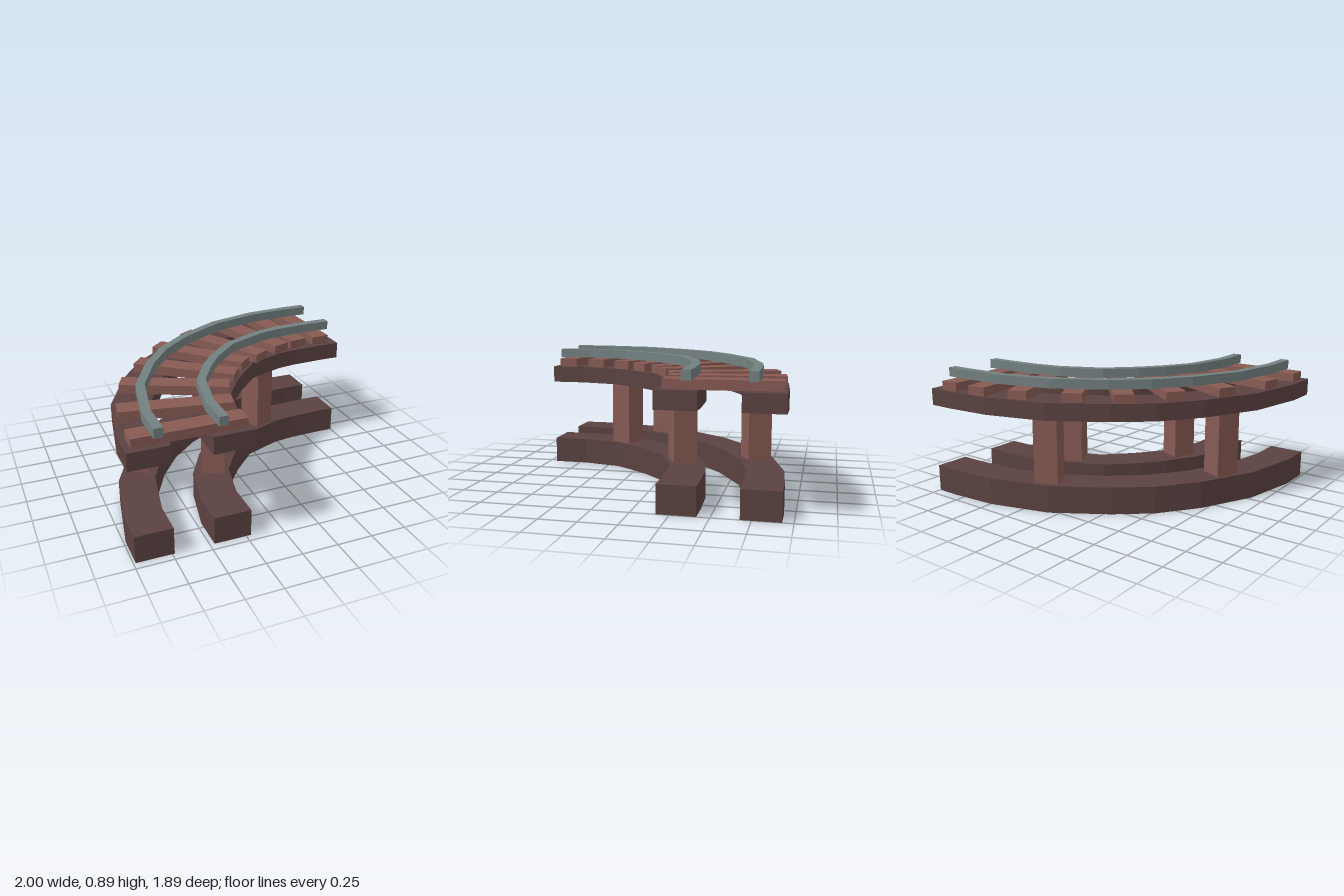
import * as THREE from 'three';

// Outer and inner edges of the curved track bed, as matching [x, z] stations
const OUTER = [[-1, 0.945], [-1, 0.71], [-0.92, 0.28], [-0.73, -0.11], [-0.53, -0.38],
  [-0.3, -0.57], [0.06, -0.8], [0.49, -0.92], [0.82, -0.945], [1, -0.945]];
const INNER = [[-0.2, 0.945], [-0.2, 0.7], [-0.14, 0.42], [-0.04, 0.27], [0.045, 0.16],
  [0.22, -0.02], [0.48, -0.12], [0.62, -0.14], [0.86, -0.15], [1, -0.15]];

// Rectangular section swept along the curve; f0..f1 is its span from outer edge (0) to inner edge (1)
function sweep(f0, f1, y0, y1) {
  const pos = [], idx = [];
  const n = OUTER.length;
  for (let i = 0; i < n; i++) {
    const at = (f, y) => pos.push(
      THREE.MathUtils.lerp(OUTER[i][0], INNER[i][0], f), y,
      THREE.MathUtils.lerp(OUTER[i][1], INNER[i][1], f));
    at(f0, y0); at(f0, y1); at(f1, y1); at(f1, y0);
  }
  for (let i = 0; i < n - 1; i++) {
    for (let k = 0; k < 4; k++) {
      const a = i * 4 + k, b = i * 4 + (k + 1) % 4;
      idx.push(a, b, a + 4, b, b + 4, a + 4);
    }
  }
  const e = (n - 1) * 4;
  idx.push(0, 3, 2, 0, 2, 1, e, e + 1, e + 2, e, e + 2, e + 3);
  const g = new THREE.BufferGeometry();
  g.setAttribute('position', new THREE.Float32BufferAttribute(pos, 3));
  g.setIndex(idx);
  const flat = g.toNonIndexed();
  flat.computeVertexNormals();
  return flat;
}

export function createModel() {
  const group = new THREE.Group();
  const material = (name, color) => {
    const m = new THREE.MeshStandardMaterial({ color });
    m.name = name;
    return m;
  };
  const darkWood = material('darkWood', 0x5a4240);
  const redWood = material('redWood', 0x875a53);
  const steel = material('steel', 0x738080);

  const add = (name, geometry, mat) => {
    const mesh = new THREE.Mesh(geometry, mat);
    mesh.name = name;
    group.add(mesh);
    return mesh;
  };
  // Box turned so its length follows the given angle in the ground plane
  const addBox = (name, size, x, y, z, degrees) => {
    const mesh = add(name, new THREE.BoxGeometry(...size), redWood);
    mesh.position.set(x, y, z);
    mesh.rotation.y = -THREE.MathUtils.degToRad(degrees);
  };

  // Foundation and deck beams
  add('outerBaseBeam', sweep(0.018, 0.332, 0, 0.19), darkWood);
  add('innerBaseBeam', sweep(0.664, 0.98, 0, 0.19), darkWood);
  add('outerDeckBeam', sweep(0, 0.332, 0.645, 0.765), darkWood);
  add('innerDeckBeam', sweep(0.664, 1, 0.645, 0.765), darkWood);

  // Rails
  add('outerRail', sweep(0.207, 0.282, 0.825, 0.89), steel);
  add('innerRail', sweep(0.71, 0.786, 0.825, 0.89), steel);

  // Posts: x, z, angle
  const posts = [[-0.72, 0.15, 25], [-0.24, 0.355, 25], [0.14, -0.685, 65], [0.335, -0.2, 65]];
  posts.forEach(([x, z, a], i) =>
    addBox(`post${i + 1}`, [0.165, 0.475, 0.165], x, 0.4175, z, a));

  // Cross ties: x, z, angle
  const ties = [[-0.592, 0.832, 0], [-0.565, 0.532, 10.5], [-0.465, 0.222, 24.5],
    [-0.3, -0.02, 37.5], [-0.115, -0.235, 48], [0.115, -0.365, 59.5],
    [0.39, -0.49, 71], [0.625, -0.548, 83], [0.853, -0.555, 88]];
  ties.forEach(([x, z, a], i) =>
    addBox(`tie${i + 1}`, [0.735, 0.064, 0.135], x, 0.794, z, a));

  return group;
}
